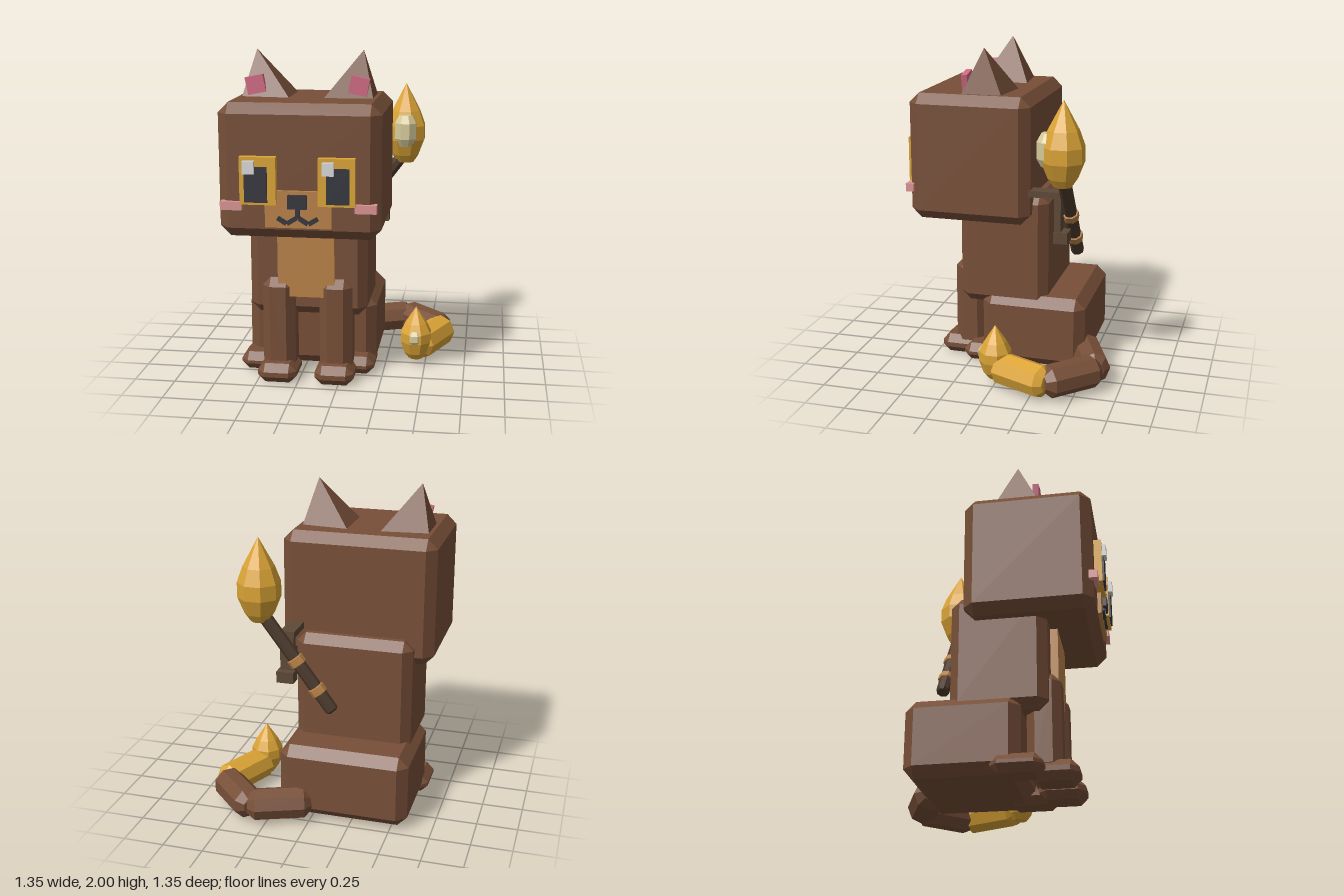
import * as THREE from 'three';
import { ConvexGeometry } from 'three/addons/geometries/ConvexGeometry.js';

const mat = (name, color, flatShading = true) => {
  const m = new THREE.MeshStandardMaterial({ color, flatShading });
  m.name = name;
  return m;
};

export function createModel() {
  const brown = mat('brown fur', 0x774f38), tan = mat('tan', 0xb98248), gold = mat('gold', 0xdba436);
  const pink = mat('ear pink', 0xcf6a82), blush = mat('blush', 0xdc9494), dark = mat('charcoal', 0x36363f);
  const white = mat('highlight', 0xdadada), cream = mat('cream', 0xd8cc9c);
  const wood = mat('dark wood', 0x4c3a2d), bracketWood = mat('bracket wood', 0x5e4936);
  const model = new THREE.Group();
  const MID = -0.2; // the body's own mirror plane

  const add = (name, geo, material, parent = model) => {
    const mesh = new THREE.Mesh(geo, material);
    mesh.name = name;
    parent.add(mesh);
    return mesh;
  };
  // Plain box given by its extents
  const box = (name, material, x0, x1, y0, y1, z0, z1) => {
    const m = add(name, new THREE.BoxGeometry(x1 - x0, y1 - y0, z1 - z0), material);
    m.position.set((x0 + x1) / 2, (y0 + y1) / 2, (z0 + z1) / 2);
    return m;
  };
  // Box with chamfered edges and corners, given by its extents
  const bevelBox = (name, material, x0, x1, y0, y1, z0, z1, c) => {
    const h = [(x1 - x0) / 2, (y1 - y0) / 2, (z1 - z0) / 2], pts = [];
    for (const sx of [-1, 1]) for (const sy of [-1, 1]) for (const sz of [-1, 1])
      for (let full = 0; full < 3; full++) {
        const p = [sx, sy, sz].map((s, i) => s * (h[i] - (i === full ? 0 : c)));
        pts.push(new THREE.Vector3(...p));
      }
    const m = add(name, new ConvexGeometry(pts), material);
    m.position.set((x0 + x1) / 2, (y0 + y1) / 2, (z0 + z1) / 2);
    return m;
  };
  // Eight-sided turned shape from [radius, height] pairs
  const turned = (name, material, profile, x = 0, y = 0, z = 0, sides = 8) => {
    const geo = new THREE.LatheGeometry(profile.map(p => new THREE.Vector2(...p)), sides, Math.PI / sides);
    const m = add(name, geo, material);
    m.position.set(x, y, z);
    return m;
  };
  // Rod with chamfered ends between two points
  const rod = (name, material, a, b, r, c) => {
    const va = new THREE.Vector3(...a), d = new THREE.Vector3(...b).sub(va), len = d.length();
    const m = turned(name, material, [[0, 0], [r - c, 0], [r, c], [r, len - c], [r - c, len], [0, len]], ...a);
    m.quaternion.setFromUnitVectors(new THREE.Vector3(0, 1, 0), d.normalize());
    return m;
  };

  // Head, body and haunches
  bevelBox('head', brown, -0.67, 0.27, 0.95, 1.73, -0.155, 0.6, 0.06);
  bevelBox('body', brown, -0.56, 0.16, 0.4, 1.12, -0.245, 0.315, 0.055);
  bevelBox('haunches', brown, -0.6, 0.2, 0.02, 0.475, -0.49, 0.165, 0.06);
  box('chestPatch', tan, -0.375, -0.03, 0.53, 1.0, 0.29, 0.36);

  // Legs and paws
  for (const s of [-1, 1]) {
    const x = MID + s * 0.175;
    bevelBox('frontLeg', brown, x - 0.1, x + 0.1, 0.05, 0.64, 0.18, 0.38, 0.05);
    bevelBox('frontPaw', brown, x - 0.12, x + 0.12, 0, 0.12, 0.2, 0.47, 0.045);
    const bx = s < 0 ? -0.52 : 0.085;
    bevelBox('backPaw', brown, bx - 0.115, bx + 0.115, 0.01, 0.12, 0, 0.29, 0.045);
  }

  // Ears: leaning four-sided pyramids with a pink plate
  for (const s of [-1, 1]) {
    const P = (dx, y, z) => new THREE.Vector3(MID + s * dx, y, z);
    add('ear', new ConvexGeometry([
      P(0.1, 1.725, 0), P(0.39, 1.725, 0.03), P(0.39, 1.725, 0.28), P(0.1, 1.725, 0.31), P(0.32, 2, 0.155),
    ]), brown);
    const inner = box('innerEar', pink, -0.055, 0.055, -0.052, 0.052, -0.018, 0.018);
    inner.position.set(MID + s * 0.307, 1.8, 0.267);
    inner.rotation.z = -s * 0.2;
  }

  // Eyes and cheeks
  for (const s of [-1, 1]) {
    const ex = MID + s * 0.225, px = MID + s * 0.235;
    box('eyeFrame', gold, ex - 0.105, ex + 0.105, 1.16, 1.435, 0.59, 0.645);
    box('pupil', dark, px - 0.066, px + 0.066, 1.175, 1.38, 0.64, 0.655);
    const hx = s < 0 ? -0.474 : -0.02;
    box('eyeHighlight', white, hx - 0.034, hx + 0.034, 1.34, 1.415, 0.64, 0.67);
    const cx = MID + s * 0.388;
    box('cheek', blush, cx - 0.063, cx + 0.063, 1.12, 1.17, 0.575, 0.625);
  }

  // Muzzle, nose and mouth
  box('muzzle', tan, -0.39, -0.005, 1.025, 1.24, 0.59, 0.622);
  box('nose', dark, -0.255, -0.145, 1.14, 1.22, 0.61, 0.645);
  box('mouthStem', dark, -0.213, -0.187, 1.08, 1.145, 0.61, 0.635);
  for (const s of [-1, 1]) for (const [dx, tilt] of [[0.035, -1], [0.09, 1]]) {
    const bar = box('mouthBar', dark, -0.03, 0.03, -0.013, 0.013, -0.012, 0.012);
    bar.position.set(MID + s * dx, 1.069, 0.623);
    bar.rotation.z = s * tilt * 0.55;
  }

  // Curled tail with a gold end section
  const tailY = 0.115;
  rod('tailBase', brown, [0, tailY, -0.46], [0.365, tailY, -0.605], 0.1, 0.045);
  rod('tailBend', brown, [0.33, tailY, -0.613], [0.605, tailY, -0.335], 0.1, 0.045);
  rod('tailEnd', gold, [0.6, tailY, -0.365], [0.445, tailY, -0.01], 0.1, 0.04);
  turned('tailFlame', gold,
    [[0, 0.035], [0.045, 0.04], [0.075, 0.08], [0.1, 0.155], [0.1, 0.215], [0.07, 0.275], [0, 0.38]], 0.44, 0, 0);
  turned('tailGlow', cream, [[0, -0.045], [0.035, -0.045], [0.052, -0.02], [0.052, 0.02], [0.035, 0.045], [0, 0.045]],
    0.437, 0.193, 0.055);

  // Torch: slanted stick, bands, flame and glow
  const tz = -0.382, foot = new THREE.Vector3(-0.12, 0.705, tz), top = new THREE.Vector3(0.31, 1.28, tz);
  rod('torchStick', wood, foot.toArray(), top.toArray(), 0.041, 0.012);
  const dir = top.clone().sub(foot).normalize();
  for (const t of [0.22, 0.52]) {
    const c = foot.clone().lerp(top, t);
    const a = c.clone().addScaledVector(dir, -0.027), b = c.clone().addScaledVector(dir, 0.027);
    rod('torchBand', tan, a.toArray(), b.toArray(), 0.051, 0.004);
  }
  turned('torchFlame', gold,
    [[0, 1.235], [0.055, 1.24], [0.09, 1.29], [0.13, 1.39], [0.13, 1.48], [0.095, 1.575], [0, 1.75]], 0.33, 0, tz);
  turned('torchGlow', cream, [[0, -0.1], [0.045, -0.1], [0.073, -0.05], [0.073, 0.05], [0.045, 0.1], [0, 0.1]],
    0.335, 1.455, -0.298);

  // Bracket holding the torch behind the head
  box('bracketArm', bracketWood, 0.13, 0.22, 1.13, 1.17, -0.345, -0.14);
  box('bracketPost', bracketWood, 0.135, 0.22, 0.9, 1.16, -0.346, -0.305);
  box('bracketFoot', bracketWood, 0.125, 0.232, 0.855, 0.925, -0.39, -0.303);

  return model;
}
